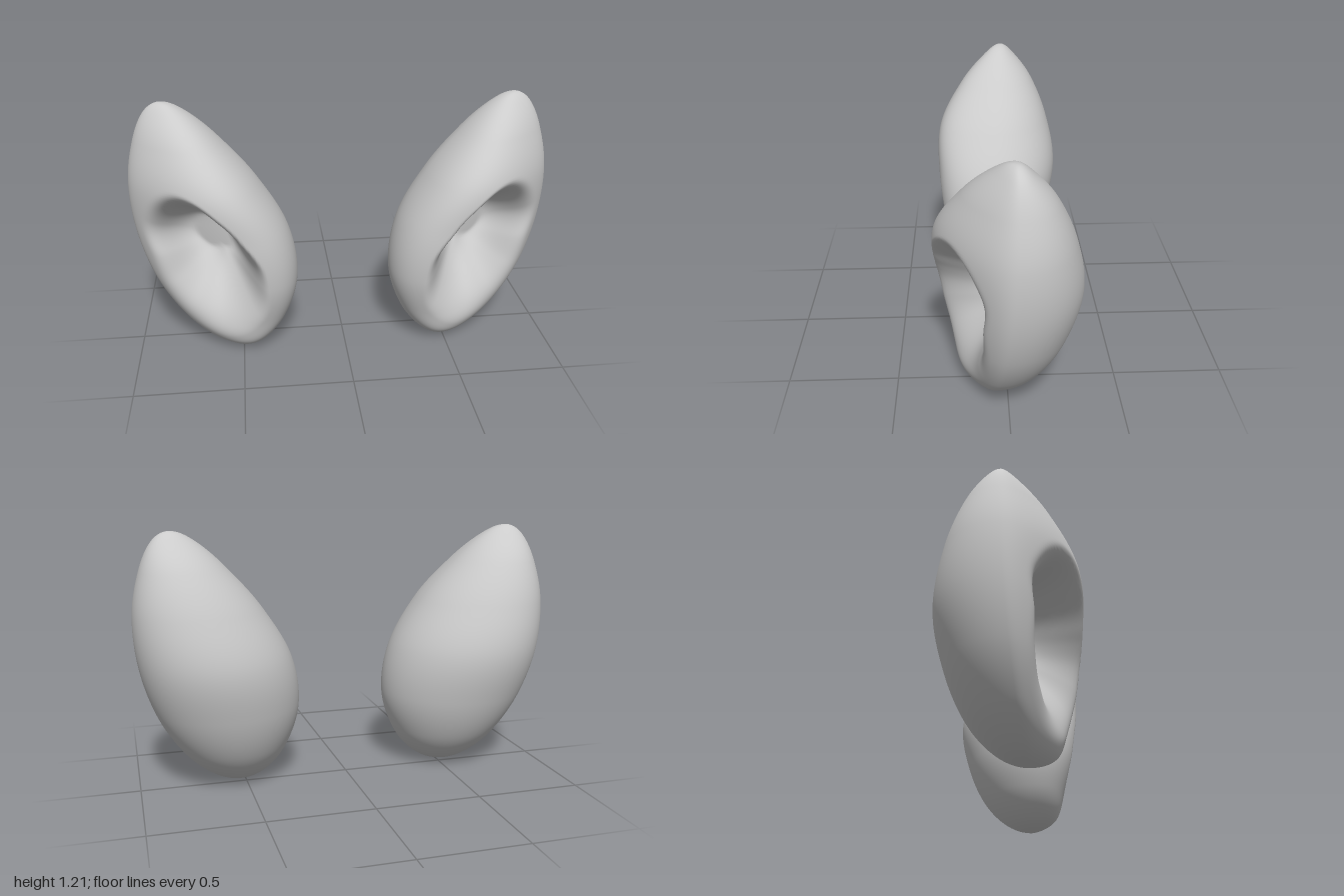
import * as THREE from 'three';

const spline = (pts) => new THREE.CatmullRomCurve3(pts, false, 'catmullrom', 0.5);

// Egg sections from bottom to top: inner x, outer x, back z, front z
const SECTIONS = [
  [0.515, 0.515, 0.075, 0.075],
  [0.385, 0.66, -0.06, 0.19],
  [0.28, 0.80, -0.18, 0.235],
  [0.225, 0.915, -0.265, 0.285],
  [0.262, 0.982, -0.31, 0.308],
  [0.395, 0.997, -0.27, 0.30],
  [0.56, 0.96, -0.19, 0.19],
  [0.705, 0.90, -0.09, 0.065],
  [0.82, 0.82, -0.02, -0.02],
];
const sides = spline(SECTIONS.map(([a, b, c]) => new THREE.Vector3(a, b, c)));
const fronts = spline(SECTIONS.map((s) => new THREE.Vector3(s[3], 0, 0)));

// Opening of the hollow: radius every 30 degrees around its deepest point
const HOLLOW = { x: 0.58, y: 0.5, depth: 0.28 };
const RADII = [0.33, 0.41, 0.42, 0.26, 0.18, 0.165, 0.19, 0.25, 0.36, 0.42, 0.37, 0.33];
const opening = new THREE.CatmullRomCurve3(
  RADII.map((r) => new THREE.Vector3(r, 0, 0)), true, 'catmullrom', 0.5);

function carve(x, y) {
  const dx = x - HOLLOW.x, dy = y - HOLLOW.y;
  const angle = Math.atan2(dy, dx);
  const turn = (angle / (2 * Math.PI) + 1) % 1;
  const d = Math.hypot(dx, dy) / opening.getPoint(turn).x;
  // steep wall at the top, gentle slope at the bottom
  const wall = 0.8 - 0.25 * Math.cos(angle - 1.6);
  return HOLLOW.depth * THREE.MathUtils.smoothstep(1 - d, 0, wall);
}

function earGeometry(side) {
  const rows = 150, cols = 160, pos = [], index = [];
  for (let j = 0; j <= rows; j++) {
    const v = j / rows;
    const y = 0.605 * (1 - Math.cos(v * Math.PI));
    const { x: inner, y: outer, z: back } = sides.getPoint(v);
    const front = fronts.getPoint(v).x;
    const mid = 0.075 - 0.095 * y / 1.21;
    const centre = (inner + outer) / 2, half = (outer - inner) / 2;
    for (let i = 0; i < cols; i++) {
      const t = (i / cols) * 2 * Math.PI, c = Math.cos(t), s = Math.sin(t);
      const x = centre + half * c;
      let z = mid - 0.1 * half * c;
      if (s > 0) {
        // front swells toward the inner side, then is hollowed out
        z += s * (1 - 0.35 * c) * (front - mid) / 1.07;
        z -= carve(x, y);
      } else {
        z += -s * (back - mid);
      }
      pos.push(side * x, y, z);
    }
  }
  for (let j = 0; j < rows; j++) {
    for (let i = 0; i < cols; i++) {
      const n = (i + 1) % cols;
      const a = j * cols + i, b = j * cols + n, c = a + cols, d = b + cols;
      if (side > 0) index.push(a, c, b, b, c, d);
      else index.push(a, b, c, b, d, c);
    }
  }
  const geo = new THREE.BufferGeometry();
  geo.setAttribute('position', new THREE.Float32BufferAttribute(pos, 3));
  geo.setIndex(index);
  geo.computeVertexNormals();
  return geo;
}

export function createModel() {
  const group = new THREE.Group();
  group.name = 'ears';
  const material = new THREE.MeshStandardMaterial({ color: 0xcccccc });
  for (const [name, side] of [['leftEar', 1], ['rightEar', -1]]) {
    const ear = new THREE.Mesh(earGeometry(side), material);
    ear.name = name;
    group.add(ear);
  }
  return group;
}
